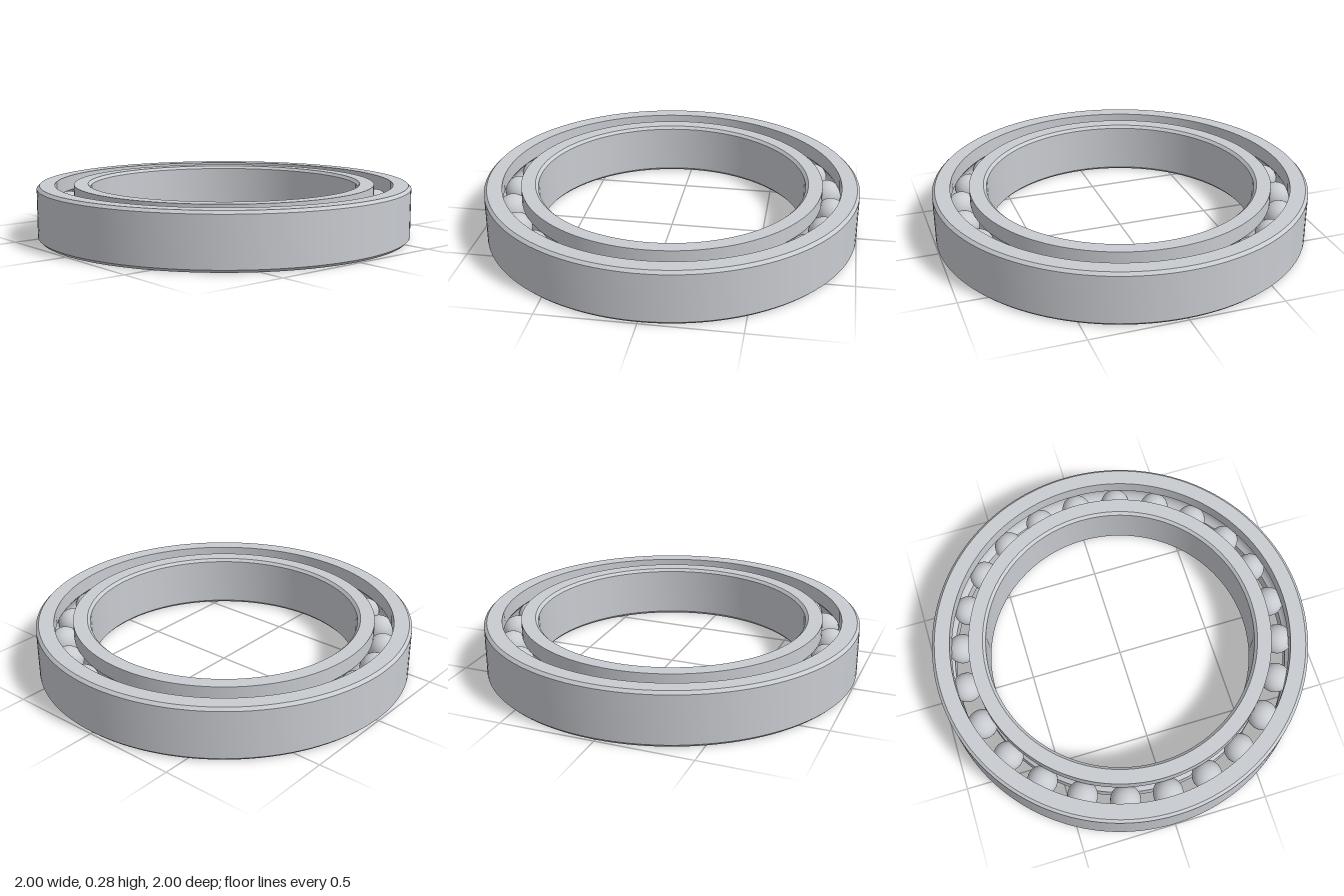
import * as THREE from 'three';
import { toCreasedNormals } from 'three/addons/utils/BufferGeometryUtils.js';

const HEIGHT = 0.285;
const MID = HEIGHT / 2;
const CHAMFER = 0.015;
const PITCH = 0.855; // radius of the circle the balls run on
const GROOVE = 0.08;
const BALLS = 24;

// Arc of the ball groove cut into a wall at radius wallR; dir +1 runs upward, -1 downward
function grooveArc(wallR, dir, steps = 14) {
  const side = Math.sign(wallR - PITCH);
  const half = Math.acos(Math.abs(wallR - PITCH) / GROOVE);
  return Array.from({ length: steps + 1 }, (_, i) => {
    const a = dir * half * (2 * i / steps - 1);
    return [PITCH + side * GROOVE * Math.cos(a), MID + GROOVE * Math.sin(a)];
  });
}

// Revolves a closed, counter-clockwise (radius, height) profile
function ring(name, profile, material) {
  const pts = [...profile, profile[0]].map(([r, y]) => new THREE.Vector2(r, y));
  const geometry = toCreasedNormals(new THREE.LatheGeometry(pts, 128), 0.5);
  const mesh = new THREE.Mesh(geometry, material);
  mesh.name = name;
  return mesh;
}

export function createModel() {
  const model = new THREE.Group();
  model.name = 'ballBearing';
  const steel = new THREE.MeshStandardMaterial({ color: 0xc8cbd0 });
  steel.name = 'steel';

  // Outer ring: chamfered outside, grooved inside
  model.add(ring('outerRing', [
    [1 - CHAMFER, 0], [1, CHAMFER], [1, HEIGHT - CHAMFER], [1 - CHAMFER, HEIGHT],
    [0.905, HEIGHT], ...grooveArc(0.905, -1), [0.905, 0],
  ], steel));

  // Inner ring: grooved outside, chamfered bore
  model.add(ring('innerRing', [
    [0.805, 0], ...grooveArc(0.805, 1), [0.805, HEIGHT],
    [0.715 + CHAMFER, HEIGHT], [0.715, HEIGHT - CHAMFER], [0.715, CHAMFER], [0.715 + CHAMFER, 0],
  ], steel));

  // Balls spaced evenly between the rings
  const balls = new THREE.Group();
  balls.name = 'balls';
  const ballGeometry = new THREE.SphereGeometry(GROOVE - 0.0005, 32, 20);
  for (let i = 0; i < BALLS; i++) {
    const a = (i / BALLS) * Math.PI * 2;
    const ball = new THREE.Mesh(ballGeometry, steel);
    ball.name = 'ball';
    ball.position.set(PITCH * Math.cos(a), MID, PITCH * Math.sin(a));
    balls.add(ball);
  }
  model.add(balls);
  return model;
}
